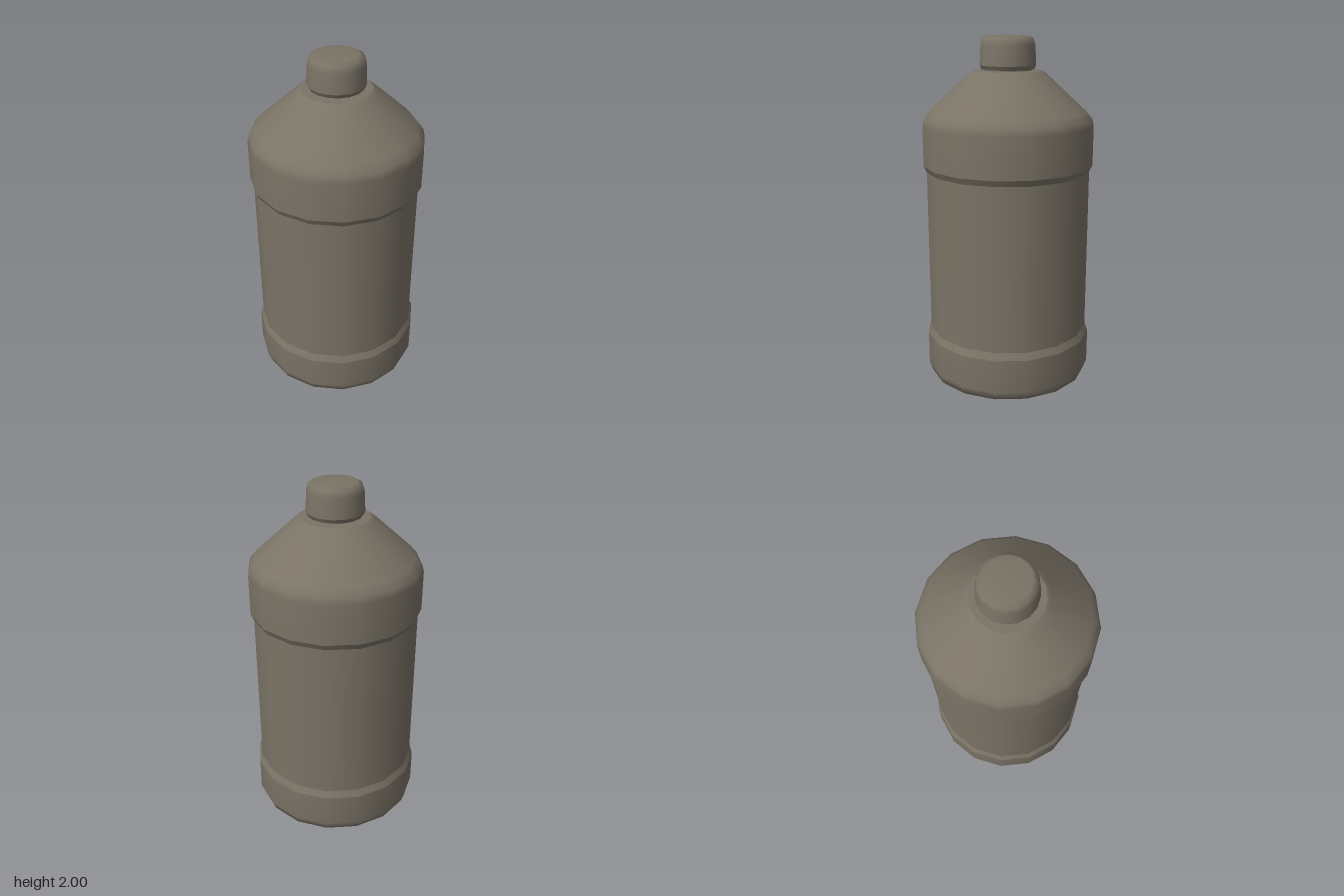
import * as THREE from 'three';
import { mergeGeometries } from 'three/addons/utils/BufferGeometryUtils.js';

const SIDES = 16;

// Each run of [radius, y] points is smooth; edges between runs stay sharp.
function turned(name, runs, material) {
  const parts = runs.map(run =>
    new THREE.LatheGeometry(run.map(([r, y]) => new THREE.Vector2(r, y)), SIDES));
  const mesh = new THREE.Mesh(mergeGeometries(parts), material);
  mesh.name = name;
  return mesh;
}

export function createModel() {
  const group = new THREE.Group();
  group.name = 'bottle';
  const plastic = new THREE.MeshStandardMaterial({ color: 0x7a7366 });
  plastic.name = 'greyBrownPlastic';

  // Base band with rounded foot
  group.add(turned('base', [
    [[0, 0.005], [0.42, 0.005]],
    [[0.42, 0.005], [0.47, 0.02], [0.488, 0.07], [0.488, 0.265]],
    [[0.488, 0.265], [0.47, 0.305]],
  ], plastic));

  // Straight recessed body
  group.add(turned('body', [[[0.47, 0.305], [0.47, 1.25]]], plastic));

  // Upper band, sloping shoulder and flat lip
  group.add(turned('shoulder', [
    [[0.47, 1.25], [0.488, 1.285]],
    [[0.488, 1.285], [0.488, 1.51], [0.478, 1.55], [0.445, 1.59], [0.22, 1.795], [0.195, 1.81]],
    [[0.195, 1.81], [0.13, 1.812]],
  ], plastic));

  // Neck under the cap
  group.add(turned('neck', [[[0.135, 1.8], [0.135, 1.83]]], plastic));

  // Screw cap with rounded top edge
  group.add(turned('cap', [
    [[0, 1.818], [0.148, 1.818]],
    [[0.148, 1.818], [0.16, 1.84]],
    [[0.16, 1.84], [0.155, 1.95], [0.145, 1.985], [0.118, 2.0], [0, 2.0]],
  ], plastic));

  return group;
}
